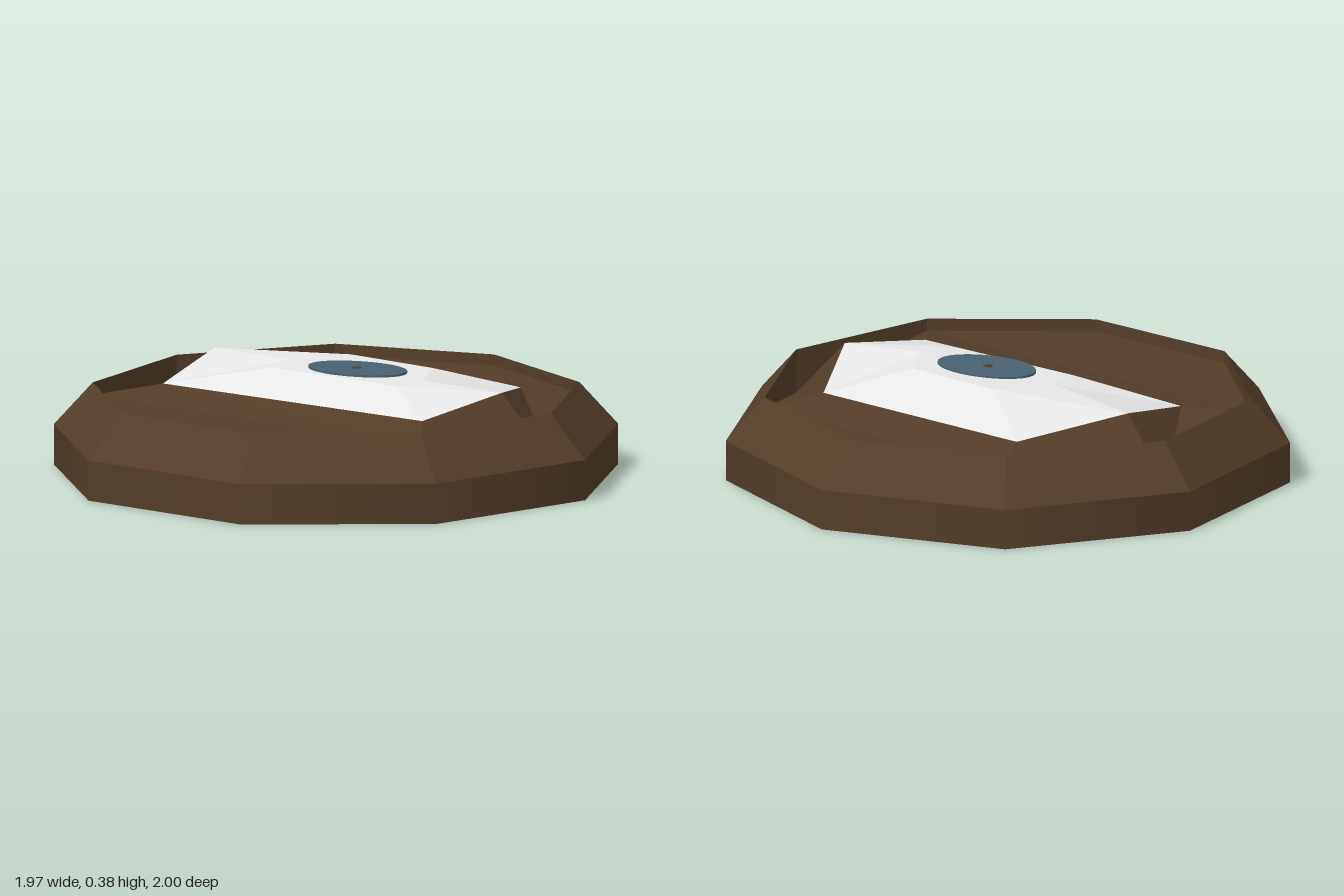
import * as THREE from 'three';

const SIDES = 9, CX = -0.035, OUTER = 1.015, INNER = 0.875, BEVEL_Y = 0.145, RIM_Y = 0.3;

const brown = new THREE.MeshStandardMaterial({ color: 0x543e2a });
brown.name = 'dark brown';
const white = new THREE.MeshStandardMaterial({ color: 0xe7e7e7 });
white.name = 'off white';
const blue = new THREE.MeshStandardMaterial({ color: 0x486271 });
blue.name = 'slate blue';

const V = (x, y, z) => new THREE.Vector3(x, y, z);

// Flat-shaded geometry from polygons, every face turned to a point high above the centre
function faceted(polygons) {
  const top = V(CX, 5, 0), points = [];
  for (const poly of polygons) {
    for (let i = 1; i < poly.length - 1; i++) {
      const [a, b, c] = [poly[0], poly[i], poly[i + 1]];
      const n = b.clone().sub(a).cross(c.clone().sub(a));
      const up = n.dot(top.clone().sub(a)) > 0;
      points.push(...(up ? [a, b, c] : [a, c, b]));
    }
  }
  const g = new THREE.BufferGeometry().setFromPoints(points);
  g.computeVertexNormals();
  return g;
}

export function createModel() {
  const model = new THREE.Group();
  const add = (name, geometry, material) => {
    const m = new THREE.Mesh(geometry, material);
    m.name = name;
    model.add(m);
    return m;
  };

  // Nine-sided base: smooth wall, flat bevel, underside
  const wall = new THREE.CylinderGeometry(OUTER, OUTER, BEVEL_Y, SIDES, 1, true, Math.PI / 2);
  add('outerWall', wall.translate(CX, BEVEL_Y / 2, 0), brown);

  let bevel = new THREE.CylinderGeometry(INNER, OUTER, RIM_Y - BEVEL_Y, SIDES, 1, true, Math.PI / 2);
  bevel = bevel.toNonIndexed();
  bevel.computeVertexNormals();
  add('bevel', bevel.translate(CX, (RIM_Y + BEVEL_Y) / 2, 0), brown);

  const bottom = new THREE.CircleGeometry(OUTER, SIDES).rotateX(Math.PI / 2);
  add('underside', bottom.translate(CX, 0, 0), brown);

  // Recessed floor corners, dipping at the two ends of the ridge
  const floorY = [0.14, 0.255, 0.255, 0.255, 0.255, 0.14, 0.26, 0.26, 0.26];
  const R = floorY.map((y, k) => {
    const t = (k * 2 * Math.PI) / SIDES;
    return V(CX + INNER * Math.cos(t), y, INNER * Math.sin(t));
  });
  const rim = R.map((p) => V(p.x, RIM_Y, p.z));
  add('innerWall', faceted(R.map((p, k) => {
    const j = (k + 1) % SIDES;
    return [p, R[j], rim[j], rim[k]];
  })), brown);

  // Outline of the white ridge and of its raised top
  const outline = [
    V(-0.665, 0.355, -0.233), V(-0.395, 0.29, -0.55), V(0.493, 0.295, -0.395),
    V(0.64, 0.355, 0), V(0.512, 0.298, 0.342), V(-0.665, 0.287, 0.135),
  ];
  const crown = [
    V(-0.28, 0.37, -0.103), V(-0.135, 0.374, -0.277), V(0.243, 0.374, -0.2),
    V(0.32, 0.37, 0), V(0.275, 0.366, 0.122), V(-0.28, 0.366, 0.04),
  ];
  const [A, B, C, D, E, F] = outline;

  // Floor panels running from the rim up to the ridge
  add('floor', faceted([
    [R[1], R[2], R[3], R[4]], [R[1], R[4], F, E],
    [R[4], R[5], F], [R[5], A, F], [R[5], B, A], [R[5], R[6], B],
    [R[6], R[8], C, B], [R[6], R[7], R[8]],
    [R[8], R[0], C], [R[0], D, C], [R[0], E, D], [R[0], R[1], E],
  ]), brown);

  // White ridge: six sloping facets and a top
  add('whiteRidge', faceted([
    ...outline.map((p, i) => [p, outline[(i + 1) % 6], crown[(i + 1) % 6], crown[i]]),
    crown,
  ]), white);

  // Oval iris and its small centre
  const iris = add('iris', new THREE.CylinderGeometry(1, 1, 0.008, 32), blue);
  iris.scale.set(0.19, 1, 0.12);
  iris.position.set(0.025, 0.374, -0.05);
  const pupil = add('pupil', new THREE.CylinderGeometry(0.018, 0.018, 0.004, 8), brown);
  pupil.position.set(0.02, 0.378, -0.05);

  return model;
}
